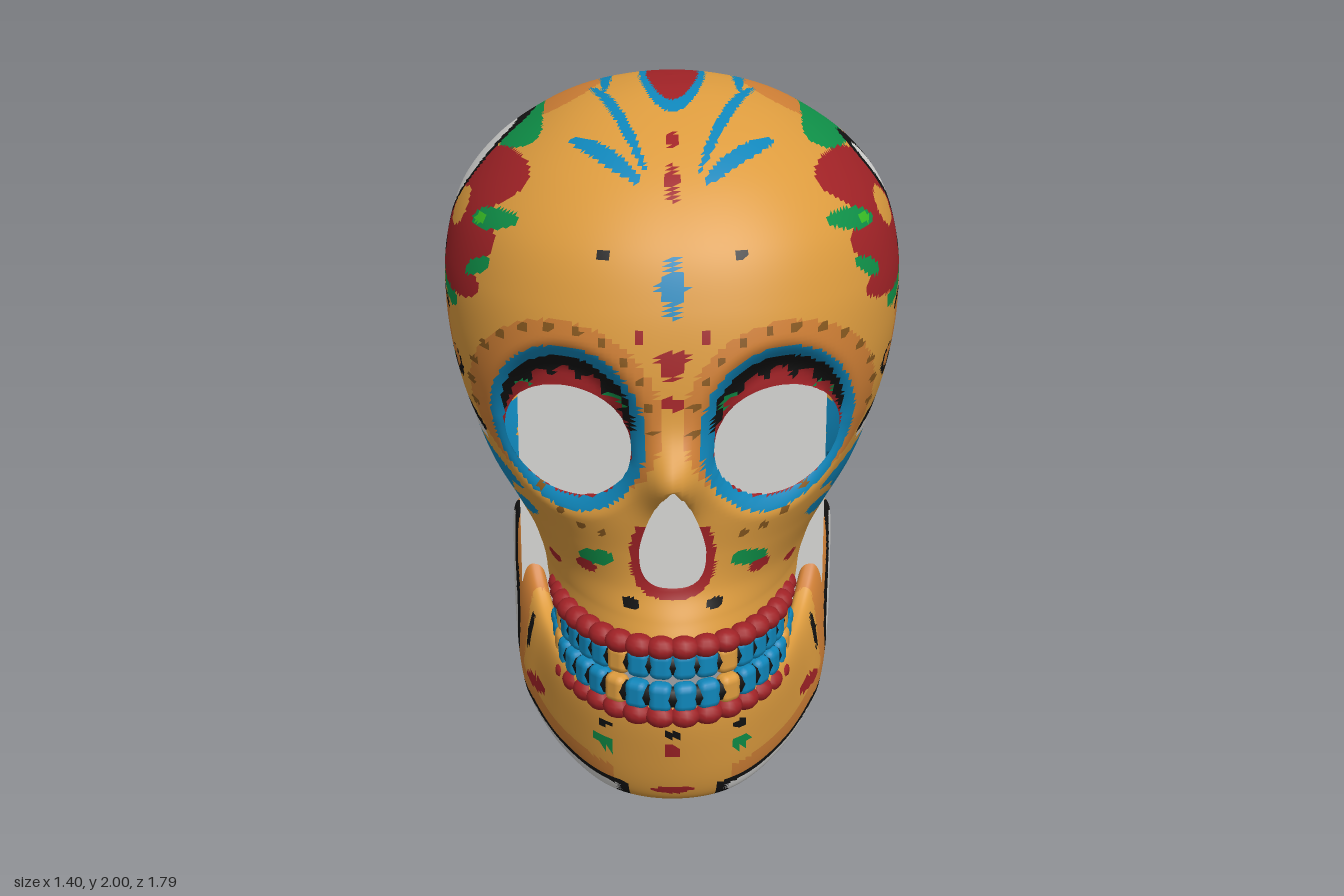
import * as THREE from 'three';
import { RoundedBoxGeometry } from 'three/addons/geometries/RoundedBoxGeometry.js';

const NAMES = ['bone', 'tan', 'red', 'blue', 'black', 'green', 'lime', 'grey', 'brown'];
const HEX = [0xdc9b3e, 0xcf7f35, 0xa02226, 0x0f86ba, 0x121212, 0x0f9048, 0x38bd25, 0xd6d6d4, 0x87581f];
const [BONE, TAN, RED, BLUE, BLACK, GREEN, LIME, GREY, BROWN] = HEX.keys();

// Painted ellipses: [view, colour, u, v, radius u, radius v, tilt in degrees]
// F = front (|x|, y), S = side (z, y), T = top (|x|, z), B = back (|x|, y), R = right side only
const topPaint = [
  ['T', TAN, .33, -.15, .13, .22, 0], ['T', BLUE, 0, -.1, .1, .37, 0], ['T', RED, 0, -.11, .078, .31, 0],
  ['T', BLUE, .2, -.17, .018, .26, 0], ['T', BLUE, .16, -.46, .016, .13, -20], ['T', BLUE, .16, .25, .016, .27, 18],
  ['T', BLUE, .21, -.52, .024, .15, -45], ['T', BLUE, .19, .43, .024, .15, 42], ['T', RED, 0, .4, .014, .035, 0],
  ['T', RED, 0, .56, .014, .04, 0], ['T', RED, .05, -.5, .014, .03, 0], ['T', RED, 0, -.63, .014, .04, 0],
  ['T', BLUE, 0, -.79, .03, .035, 0],
];
const flowerPaint = [
  ['S', GREEN, -.07, 1.85, .29, .05, 0], ['S', GREEN, .22, 1.43, .13, .04, -12], ['S', GREEN, -.36, 1.43, .13, .035, 12],
  ['S', RED, .16, 1.73, .25, .09, 5], ['S', RED, .22, 1.6, .26, .09, 0], ['S', RED, .24, 1.49, .24, .06, -3],
  ['S', RED, -.28, 1.72, .25, .09, -5], ['S', RED, -.34, 1.61, .28, .08, 0], ['S', RED, -.36, 1.5, .26, .055, 5],
  ['S', RED, -.05, 1.61, .3, .18, 0], ['S', GREEN, .4, 1.67, .1, .03, 8], ['S', GREEN, .44, 1.54, .06, .025, 25],
  ['S', GREEN, -.58, 1.66, .08, .032, -20], ['S', GREEN, -.57, 1.53, .09, .03, 10], ['S', LIME, .35, 1.66, .03, .015, 0],
  ['S', BONE, .13, 1.64, .1, .055, 0], ['S', BONE, -.31, 1.64, .12, .055, 0], ['S', BLACK, -.05, 1.56, .05, .1, 0],
  ['S', BLACK, -.05, 1.5, .13, .03, 0], ['S', GREEN, -.05, 1.45, .12, .05, 0], ['S', LIME, -.05, 1.48, .03, .025, 0],
];
const patchPaint = [
  ['S', BLACK, -.1, 1.7, .12, .12, -25], ['S', GREY, -.1, 1.7, .06, .085, -25],
  ['R', BLACK, -.14, 1.7, .19, .18, 0], ['R', GREY, -.14, 1.7, .15, .14, 0],
];
const cheekPaint = [
  ['S', TAN, -.02, 1.24, .26, .15, 0], ['S', TAN, -.4, 1.08, .15, .04, -30], ['S', BLACK, -.02, 1.36, .26, .045, 0],
  ['S', TAN, -.02, 1.34, .25, .045, 0], ['S', BLACK, .28, 1.21, .08, .045, 0], ['S', TAN, .27, 1.22, .06, .03, 0],
  ['S', BLACK, .24, 1.2, .025, .02, 0], ['S', BLACK, -.32, 1.21, .09, .05, -20], ['S', TAN, -.31, 1.22, .07, .035, -20],
  ['S', BLACK, -.29, 1.2, .025, .02, 0], ['S', GREEN, .18, 1.2, .035, .02, 0], ['S', BLUE, .1, .9, .36, .1, 0],
  ['S', BLUE, 0, .84, .35, .1, 0], ['S', BLUE, .41, .93, .13, .03, -15], ['S', BLUE, .43, .81, .11, .03, 10],
  ['S', BLUE, -.32, .91, .15, .03, -5], ['S', BLUE, -.32, .82, .16, .03, 0], ['S', BLUE, -.2, .74, .25, .03, 5],
  ['S', BLUE, -.19, .69, .07, .05, 0], ['S', BLACK, .08, 1.05, .34, .055, -2], ['S', BLACK, -.14, 1.1, .12, .04, -10],
];
const facePaint = [
  ['S', GREY, .1, 1.025, .31, .035, -2],
  ['F', TAN, .31, 1.19, .28, .27, 0], ['F', BLUE, .3, 1.14, .225, .25, 0], ['F', BLACK, .3, 1.17, .19, .18, 0],
  ['F', RED, .3, 1.1, .187, .175, 0], ['F', GREEN, .16, 1.23, .03, .02, 30], ['F', GREEN, .43, 1.22, .03, .02, -30],
  ['F', RED, .018, 1.37, .026, .024, 45], ['F', RED, 0, 1.34, .022, .03, 0], ['F', RED, 0, 1.25, .025, .022, 0],
  ['F', BLUE, 0, 1.56, .022, .09, 0], ['F', BLUE, 0, 1.56, .042, .028, 0], ['F', RED, 0, 1.81, .016, .04, 0],
  ['F', GREEN, .22, .75, .055, .025, -15], ['F', RED, .25, .71, .03, .02, 0], ['F', BLACK, .12, .64, .025, .016, 0],
  ['F', BLACK, .19, 1.64, .02, .012, 0], ['F', RED, .09, 1.43, .016, .02, 0], ['F', RED, .35, .66, .02, .015, 0],
];
const backPaint = [
  ['B', BLUE, .325, 1.12, .215, .21, 0], ['B', BLACK, .325, 1.12, .177, .175, 0], ['B', RED, .325, 1.12, .1, .14, 0],
  ['B', RED, .325, 1.12, .135, .09, 0], ['B', BLACK, .325, 1.12, .018, .018, 0], ['B', RED, .05, .85, .1, .085, 40],
  ['B', RED, 0, .77, .07, .13, 0], ['B', BLACK, .045, .85, .075, .06, 40], ['B', BLACK, 0, .78, .05, .1, 0],
  ['B', GREEN, .25, .78, .05, .025, 30], ['B', BLUE, 0, 1.48, .02, .09, 0], ['B', BLUE, 0, 1.49, .05, .025, 0],
];
for (let i = 0; i < 13; i++) { // dots over the brow and cheek, petals over the eye, sprigs round the back flower
  const a = -.25 + i * .29, b = i * Math.PI / 3 + .4;
  facePaint.push(['F', BROWN, .32 + .265 * Math.cos(a), 1.19 + .25 * Math.sin(a), .014, .012, 0]);
  if (i < 5) {
    facePaint.push(['F', BROWN, .2 + i * .06, .84 + .01 * i * i, .013, .011, 0]);
    facePaint.push(['F', RED, .3 + .155 * Math.cos(.6 + i * .48), 1.12 + .165 * Math.sin(.6 + i * .48), .028, .025, 0]);
  }
  if (i < 6) backPaint.push(['B', GREEN, .325 + .13 * Math.cos(b), 1.12 + .14 * Math.sin(b), .033, .02, 60 * i]);
}
const skullPaint = [topPaint, flowerPaint, patchPaint, cheekPaint, facePaint, backPaint].flat();
const jawPaint = [
  ['F', RED, 0, .2, .018, .025, 0], ['F', GREEN, .2, .19, .03, .022, 20], ['F', BLACK, 0, .26, .022, .014, 0],
  ['F', BLACK, .2, .26, .02, .013, 0], ['F', RED, 0, .05, .06, .014, 0], ['S', RED, .41, .2, .08, .022, 5],
  ['S', BLACK, .32, .33, .015, .06, 0], ['S', TAN, .1, .42, .17, .32, 24], ['S', BLACK, .105, .41, .1, .25, 20],
  ['S', GREY, .1, .41, .072, .215, 20],
];
const inView = {
  F: p => p.z > .3 && [Math.abs(p.x), p.y], S: p => Math.abs(p.x) > .33 && [p.z, p.y],
  T: p => p.y > 1.5 && [Math.abs(p.x), p.z], B: p => p.z < -.25 && [Math.abs(p.x), p.y],
  R: p => p.x < -.33 && [p.z, p.y],
};
function paintAt(list, p, colour) {
  for (const [view, col, cu, cv, ru, rv, tilt] of list) {
    const q = inView[view](p);
    if (!q) continue;
    const t = tilt * Math.PI / 180, c = Math.cos(t), s = Math.sin(t), u = q[0] - cu, v = q[1] - cv;
    if (Math.hypot((u * c + v * s) / ru, (v * c - u * s) / rv) < 1) colour = col;
  }
  return colour;
}

// Grid closed around each row; faces are sorted into one group per colour
function paintedGrid(name, rows, cols, point, paint, materials) {
  const pts = [], faces = HEX.map(() => []), mid = new THREE.Vector3();
  for (let i = 0; i <= rows; i++) for (let j = 0; j < cols; j++) pts.push(point(i / rows, j / cols * Math.PI * 2));
  const tri = (a, b, c) => {
    if (pts[a].cut && pts[b].cut && pts[c].cut) return;
    faces[paint(mid.copy(pts[a]).add(pts[b]).add(pts[c]).divideScalar(3))].push(a, b, c);
  };
  for (let i = 0; i < rows; i++) for (let j = 0; j < cols; j++) {
    const a = i * cols + j, b = i * cols + (j + 1) % cols;
    tri(a, b, b + cols); tri(a, b + cols, a + cols);
  }
  const geo = new THREE.BufferGeometry().setFromPoints(pts);
  geo.setIndex(faces.flat());
  let start = 0;
  faces.forEach((f, m) => { geo.addGroup(start, f.length, m); start += f.length; });
  geo.computeVertexNormals();
  const mesh = new THREE.Mesh(geo, materials);
  mesh.name = name;
  return mesh;
}

// Skull sections: height, front z, back z, half width, z of the widest point
const SECTIONS = [
  [.45, .85, -.42, .42, -.1], [.53, .86, -.46, .43, -.1], [.6, .83, -.54, .44, -.12], [.68, .79, -.66, .47, -.14],
  [.78, .78, -.76, .525, -.14], [.9, .79, -.83, .59, -.13], [1.05, .8, -.875, .64, -.12], [1.2, .805, -.89, .68, -.12],
  [1.35, .79, -.87, .7, -.14], [1.5, .755, -.815, .695, -.15], [1.65, .69, -.73, .65, -.15], [1.78, .575, -.62, .55, -.14],
  [1.88, .43, -.48, .42, -.11], [1.95, .27, -.32, .29, -.07], [1.99, .12, -.17, .14, -.04], [2, -.03, -.03, 0, -.03],
];
const curve = pts => new THREE.CatmullRomCurve3(pts.map(p => new THREE.Vector3(...p)), false, 'catmullrom');
const outline = curve(SECTIONS.map(s => [s[1], s[0], s[3]])), rear = curve(SECTIONS.map(s => [s[2], s[0], s[4]]));
// Lower rim of the skull as seen from the side: [z, y]
const RIM = [[.9, .5], [.39, .5], [.33, .6], [.2, .75], [.08, .8], [-.04, .8], [-.11, .75], [-.15, .625], [-.4, .635], [-.64, .68], [-.9, .72]];
function rimAt(z) {
  const i = Math.max(1, RIM.findIndex(r => z >= r[0]));
  return THREE.MathUtils.mapLinear(z, RIM[i - 1][0], RIM[i][0], RIM[i - 1][1], RIM[i][1]);
}
const eyeLevel = (dx, dy) => Math.hypot(dx / .184, dy / .162);
const noseLevel = (dx, dy) => dy > 0 ? ((Math.abs(dx) / .095) ** 1.3 + (dy / .22) ** 1.3) ** (1 / 1.3)
  : ((Math.abs(dx) / .095) ** 3 + (-dy / .11) ** 3) ** (1 / 3);
const HOLES = [[.3, 1.09, eyeLevel], [-.3, 1.09, eyeLevel], [0, .8, noseLevel]];

function skullPoint(t, angle) {
  const o = outline.getPoint(t), r = rear.getPoint(t), s = Math.sin(angle), c = Math.cos(angle);
  const e = 2 / (c < 0 ? 1.97 : THREE.MathUtils.mapLinear(THREE.MathUtils.clamp(o.y, .6, 1.1), .6, 1.1, 2, 2.35));
  const p = new THREE.Vector3(Math.max(o.z, 0) * Math.sign(s) * Math.abs(s) ** e, o.y, r.z + ((c > 0 ? o.x : r.x) - r.z) * Math.abs(c) ** e);
  if (c > 0) {
    const d = Math.hypot((Math.abs(p.x) - .3) / .225, (p.y - 1.14) / .25); // eye socket
    p.z -= .095 * THREE.MathUtils.smoothstep(1.1 - d, 0, .5);
    p.z += .09 * Math.exp(-((p.x / .08) ** 2) - ((p.y - 1.03) / .1) ** 2); // nose bridge
    for (const [cx, cy, level] of HOLES) {
      const f = level(p.x - cx, p.y - cy), k = 1 / Math.max(f, .05);
      if (f >= 1 || p.z < .3) continue;
      p.cut = true;
      p.x = cx + (p.x - cx) * k; p.y = cy + (p.y - cy) * k;
      break;
    }
  }
  const rim = rimAt(p.z);
  if (p.y < rim) { p.y = rim; p.cut = true; }
  return p;
}
const skullColour = p => p.z > .5 && p.y < .88 && noseLevel(p.x, p.y - .8) < 1.28 ? RED : paintAt(skullPaint, p, BONE);

// Jaw: lower edge and upper edge from chin to hinge, mirrored
const mirrored = pts => curve([...pts.slice(1).reverse().map(([x, y, z]) => [-x, y, z]), ...pts]);
const jawLow = mirrored([[0, .03, .76], [.17, .038, .71], [.31, .07, .55], [.41, .115, .36], [.445, .155, .25], [.46, .22, .15], [.465, .36, .085], [.468, .52, .025]]);
const jawHigh = mirrored([[0, .33, .84], [.17, .33, .77], [.3, .34, .6], [.37, .36, .38], [.41, .43, .26], [.445, .55, .17], [.46, .605, .08], [.465, .62, .005]]);
function jawPoint(t, angle) {
  const k = THREE.MathUtils.clamp((t - .02) / .96, 0, 1), size = t > 0 && t < 1 ? 1 : 0;
  const lo = jawLow.getPoint(k), hi = jawHigh.getPoint(k), along = jawLow.getTangent(k);
  const out = new THREE.Vector3(-along.z, 0, along.x).normalize();
  const round = v => Math.sign(v) * Math.abs(v) ** .7 * size;
  const half = hi.clone().sub(lo).multiplyScalar(.5 * round(Math.cos(angle)));
  half.y += .03 * round(Math.cos(angle));
  return lo.lerp(hi, .5).add(half).addScaledVector(out, .042 * round(Math.sin(angle)));
}
function jawColour(p) {
  const a = Math.abs(p.x), edge = p.y - (.05 + (.75 - p.z) * .18);
  if (a > .13 && p.z > .2 && edge < .018) return a > .16 && edge < 0 ? GREY : BLACK;
  return paintAt(jawPaint, p, a > .17 && edge < .07 ? TAN : BONE);
}

// A row of teeth with a bead of gum at each root and a dark band behind the gaps
function toothRow(name, path, yTooth, yGum, materials) {
  const row = new THREE.Group(), count = 20, arch = mirrored(path);
  row.name = name;
  const add = (part, geo, colour, x, y, z, turn) => {
    const mesh = new THREE.Mesh(geo, materials[colour]);
    mesh.name = part;
    mesh.position.set(x, y, z);
    mesh.rotation.y = turn;
    row.add(mesh);
  };
  const toothGeo = new RoundedBoxGeometry(.07, .088, .055, 2, .024), gumGeo = new THREE.SphereGeometry(.045, 12, 8).scale(1, .75, .85);
  add('gapBand', new THREE.TubeGeometry(arch, 60, .024, 8).scale(1, 1.4, 1), BLACK, 0, yTooth, 0, 0);
  for (let i = 0; i < count; i++) {
    const u = (i + .5) / count, p = arch.getPointAt(u), d = arch.getTangentAt(u), turn = Math.atan2(-d.z, d.x);
    add('tooth', toothGeo, i % 5 === 2 ? BONE : BLUE, p.x, yTooth, p.z, turn);
    add('gum', gumGeo, RED, p.x * 1.01, yGum, p.z + .003, turn);
  }
  return row;
}

export function createModel() {
  const materials = HEX.map((color, i) => {
    const m = new THREE.MeshStandardMaterial({ color, side: THREE.DoubleSide });
    m.name = NAMES[i];
    return m;
  });
  const model = new THREE.Group();
  model.name = 'paintedSkull';
  // flat panel standing inside the skull behind the face
  const panel = new THREE.Mesh(new THREE.PlaneGeometry(.94, 1.18), materials[GREY]);
  panel.name = 'innerPanel';
  panel.position.set(0, .83, .22);
  model.add(panel, paintedGrid('cranium', 180, 240, skullPoint, skullColour, materials),
    paintedGrid('lowerJaw', 130, 88, jawPoint, jawColour, materials),
    toothRow('upperTeeth', [[0, 0, .862], [.17, 0, .8], [.295, 0, .62], [.34, 0, .39]], .488, .542, materials),
    toothRow('lowerTeeth', [[0, 0, .862], [.17, 0, .79], [.3, 0, .6], [.35, 0, .33]], .385, .325, materials));
  return model;
}
